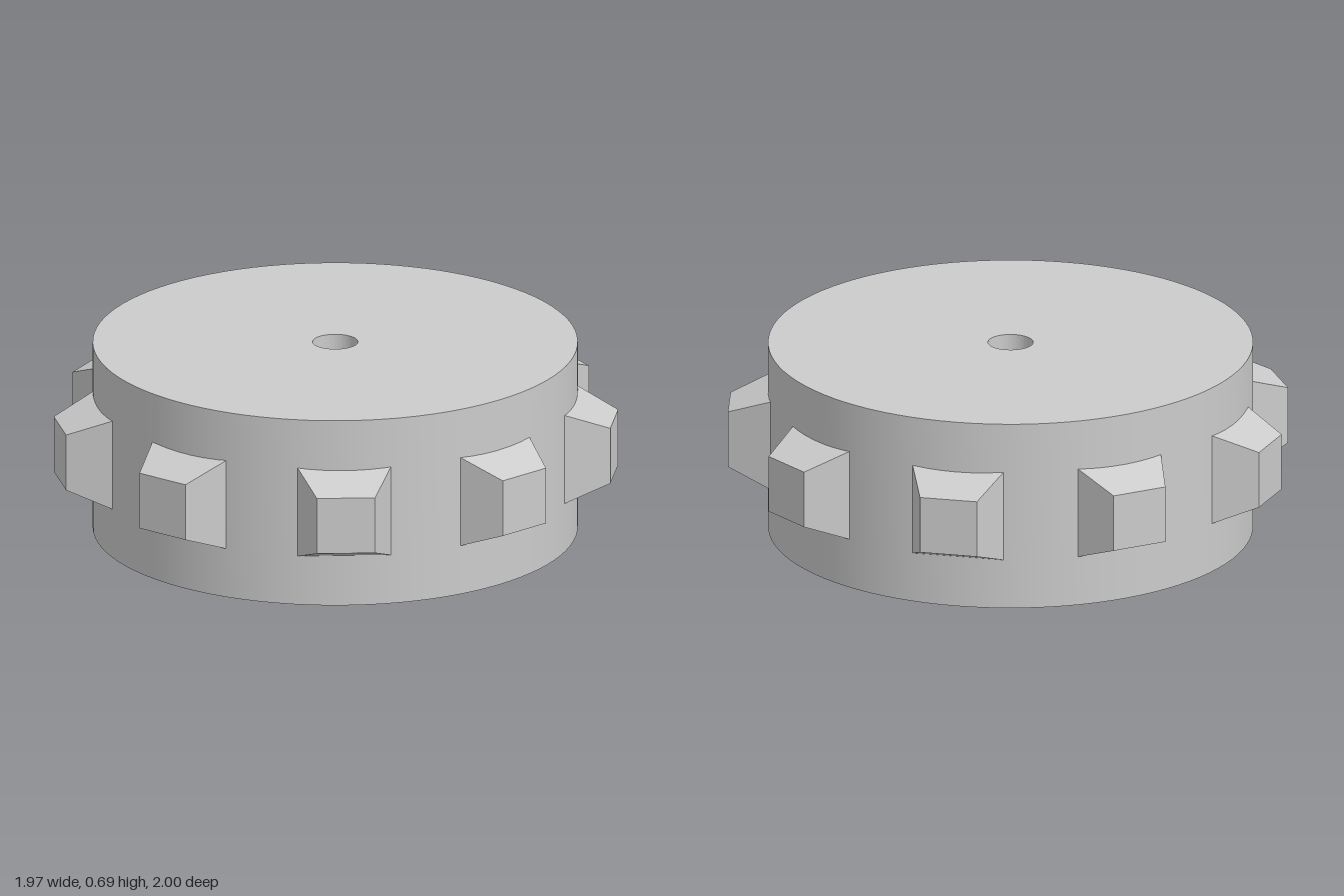
import * as THREE from 'three';
import { toCreasedNormals } from 'three/addons/utils/BufferGeometryUtils.js';

const RADIUS = 0.857, HEIGHT = 0.69, TEETH = 9;

export function createModel() {
  const model = new THREE.Group();
  model.name = 'toothedWheel';
  const smooth = new THREE.MeshStandardMaterial({ color: 0xcccccc });
  const faceted = new THREE.MeshStandardMaterial({ color: 0xcccccc, flatShading: true });

  // Drum: outer wall, top face, small bore, conical cavity open at the bottom
  const profile = [
    [0.55, 0], [RADIUS, 0], [RADIUS, HEIGHT],
    [0.08, HEIGHT], [0.08, 0.6], [0.55, 0],
  ].map(([r, y]) => new THREE.Vector2(r, y));
  const drum = new THREE.Mesh(
    toCreasedNormals(new THREE.LatheGeometry(profile, 96), Math.PI / 7), smooth);
  drum.name = 'drum';
  model.add(drum);

  // Tooth: square frustum pointing outward along +x, its base sunk into the drum
  const inner = 0.82, outer = 0.995, depth = outer - inner;
  const tooth = new THREE.CylinderGeometry(0.103 * Math.SQRT2, 0.173 * Math.SQRT2, depth, 4);
  tooth.rotateY(Math.PI / 4);
  tooth.rotateZ(-Math.PI / 2);
  tooth.translate((inner + outer) / 2, HEIGHT / 2, 0);

  // Ring of teeth around the drum
  const teeth = new THREE.Group();
  teeth.name = 'teeth';
  for (let i = 0; i < TEETH; i++) {
    const mesh = new THREE.Mesh(tooth, faceted);
    mesh.name = `tooth${i + 1}`;
    mesh.rotation.y = (i / TEETH) * Math.PI * 2;
    teeth.add(mesh);
  }
  model.add(teeth);

  // The odd tooth count shifts the axis slightly off the centre of the bounds
  model.position.x = -0.015;
  return model;
}
